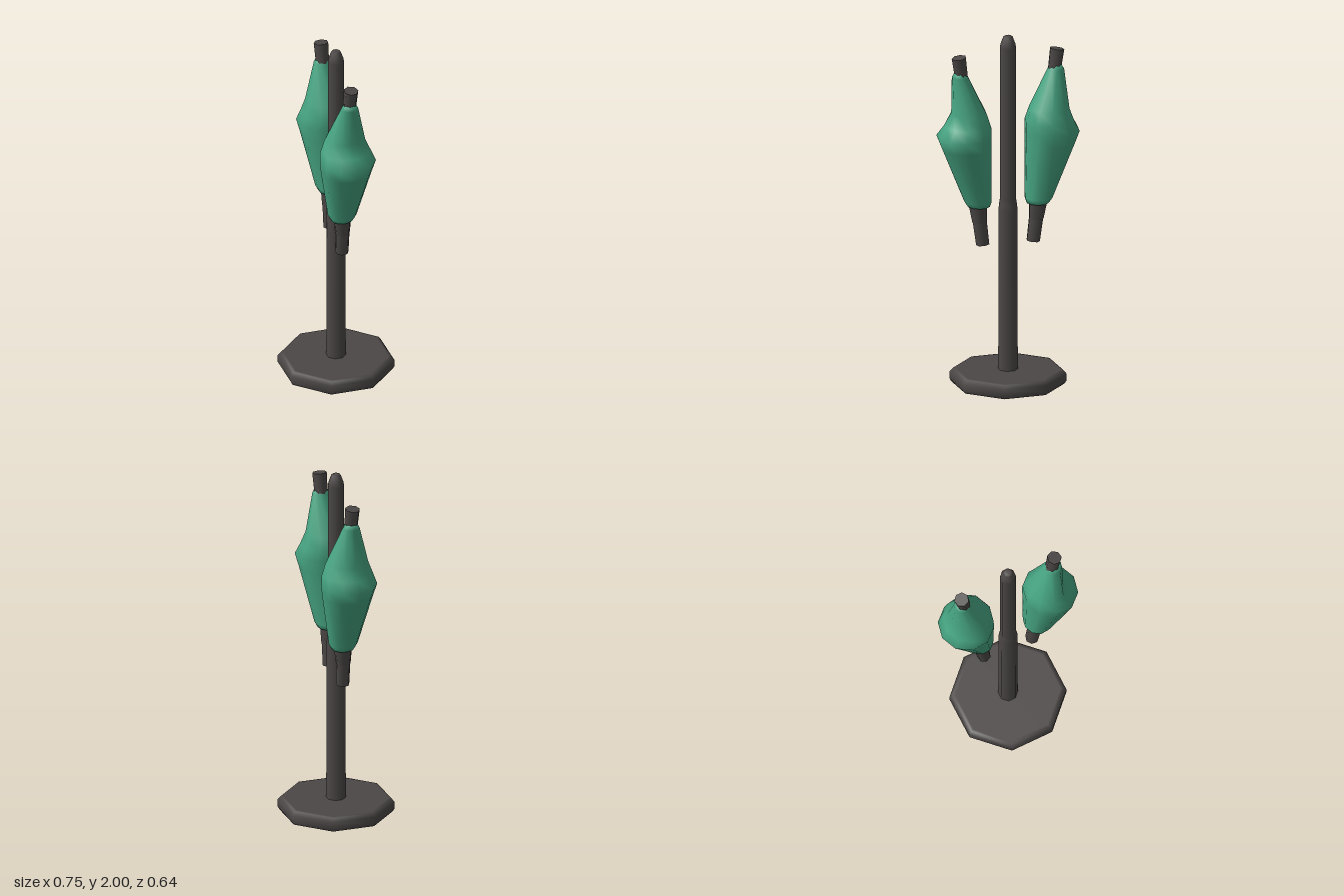
import * as THREE from 'three';

const SIDES = 10;
const PHASE = 0.3;

// Smooth skin through rings of [y, centreX, centreZ, radiusX, radiusZ, pinch], top to bottom.
// Pinch pulls the outward side of a ring in, forming the fold above the rim.
function loft(rings) {
  const pos = [], index = [];
  rings.forEach(([y, cx, cz, rx, rz, pinch = 0], i) => {
    for (let j = 0; j < SIDES; j++) {
      const a = PHASE + (j / SIDES) * Math.PI * 2;
      const k = 1 - pinch * Math.max(0, Math.cos(a - PHASE));
      pos.push(cx + rx * k * Math.cos(a), y, cz + rz * k * Math.sin(a));
      if (i === rings.length - 1) continue;
      const p = i * SIDES + j, q = i * SIDES + ((j + 1) % SIDES);
      index.push(p, q, p + SIDES, q, q + SIDES, p + SIDES);
    }
  });
  const geo = new THREE.BufferGeometry();
  geo.setAttribute('position', new THREE.Float32BufferAttribute(pos, 3));
  geo.setIndex(index);
  geo.computeVertexNormals();
  return geo;
}

function lathe(points, sides) {
  return new THREE.LatheGeometry(points.map(([r, y]) => new THREE.Vector2(r, y)), sides);
}

function part(name, geo, mat) {
  const mesh = new THREE.Mesh(geo, mat);
  mesh.name = name;
  return mesh;
}

// Tapered rod between two points
function rod(name, from, to, rFrom, rTo, mat) {
  const a = new THREE.Vector3(...from), b = new THREE.Vector3(...to);
  const dir = b.clone().sub(a);
  const mesh = part(name, new THREE.CylinderGeometry(rTo, rFrom, dir.length(), 7), mat);
  mesh.position.copy(a).add(b).multiplyScalar(0.5);
  mesh.quaternion.setFromUnitVectors(new THREE.Vector3(0, 1, 0), dir.normalize());
  return mesh;
}

// Folded canopy with its tip, collar and handle
function parasol(name, pinch, green, dark) {
  const g = new THREE.Group();
  g.name = name;
  g.add(part('canopy', loft([
    [1.815, 0.25, 0.11, 0, 0],
    [1.81, 0.25, 0.112, 0.034, 0.034],
    [1.785, 0.25, 0.114, 0.046, 0.048],
    [1.57, 0.215, 0.11, 0.12, 0.122, pinch],
    [1.5, 0.215, 0.108, 0.142, 0.145, pinch * 0.5],
    [1.44, 0.228, 0.108, 0.152, 0.157],
    [1.37, 0.213, 0.105, 0.138, 0.143],
    [1.06, 0.15, 0.082, 0.075, 0.082],
    [1.03, 0.145, 0.08, 0.06, 0.065],
    [1.02, 0.145, 0.08, 0, 0],
  ]), green));
  g.add(rod('tip', [0.238, 1.75, 0.108], [0.26, 1.9, 0.112], 0.036, 0.041, dark));
  g.add(rod('collar', [0.141, 0.94, 0.073], [0.148, 1.05, 0.082], 0.042, 0.053, dark));
  g.add(rod('handle', [0.126, 0.81, 0.065], [0.142, 0.96, 0.074], 0.038, 0.041, dark));
  return g;
}

export function createModel() {
  const dark = new THREE.MeshStandardMaterial({ color: 0x4c4747 });
  dark.name = 'charcoal';
  const green = new THREE.MeshStandardMaterial({ color: 0x46a482 });
  green.name = 'green cloth';

  const model = new THREE.Group();
  model.name = 'parasolStand';

  // Eight-sided foot with a softened rim
  model.add(part('base', lathe([
    [0, 0], [0.3, 0], [0.312, 0.003], [0.322, 0.02], [0.322, 0.06],
    [0.305, 0.08], [0.29, 0.082], [0, 0.082],
  ], 8), dark));

  // Pole, slightly thinner in its upper half
  model.add(part('pole', lathe([
    [0.054, 0.07], [0.052, 1.0], [0.05, 1.03], [0.045, 1.06], [0.045, 1.93],
    [0.041, 1.955], [0.026, 1.995], [0.018, 2], [0, 2],
  ], 8), dark));

  // Two parasols on opposite sides of the pole
  model.add(parasol('leftParasol', 0.42, green, dark));
  const right = parasol('rightParasol', 0.15, green, dark);
  right.rotation.y = Math.PI;
  model.add(right);

  return model;
}
